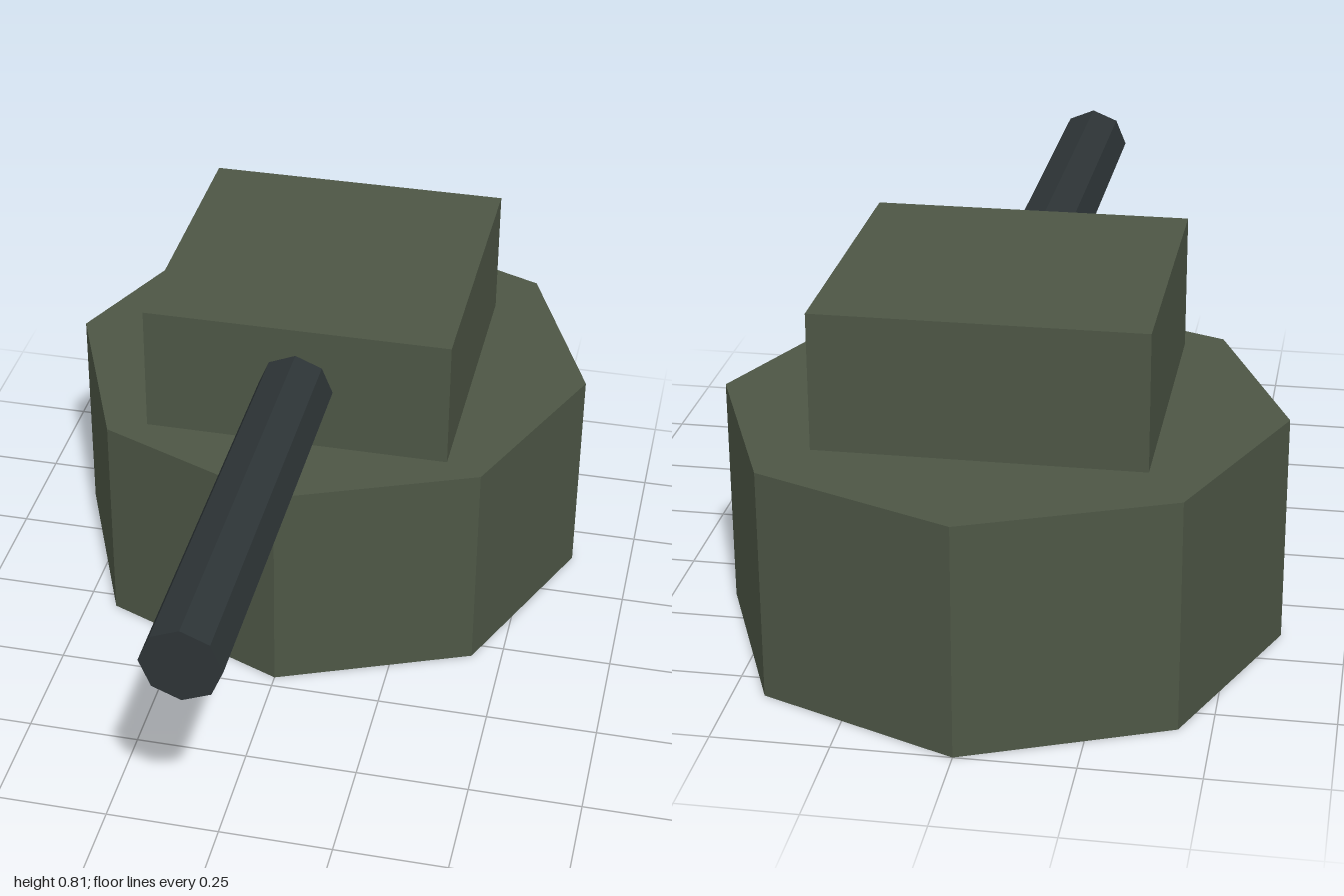
import * as THREE from 'three';

export function createModel() {
  const model = new THREE.Group();
  model.name = 'gunTurret';

  const paint = (name, color) => {
    const m = new THREE.MeshStandardMaterial({ color, flatShading: true });
    m.name = name;
    return m;
  };
  const olive = paint('olive green', 0x4d5645);
  const gunmetal = paint('gunmetal', 0x2d3436);

  const add = (name, geometry, material, x, y, z) => {
    const mesh = new THREE.Mesh(geometry, material);
    mesh.name = name;
    mesh.position.set(x, y, z);
    model.add(mesh);
  };

  // Octagonal base with a corner facing forward
  add('base', new THREE.CylinderGeometry(0.61, 0.61, 0.51, 8), olive, 0, 0.255, -0.39);

  // Square gun housing, set slightly forward on the base
  add('housing', new THREE.BoxGeometry(0.696, 0.3, 0.696), olive, 0, 0.658, -0.347);

  // Eight-sided barrel pointing forward
  const barrel = new THREE.CylinderGeometry(0.085, 0.085, 1.02, 8).rotateX(Math.PI / 2);
  add('barrel', barrel, gunmetal, 0, 0.658, 0.49);

  return model;
}
